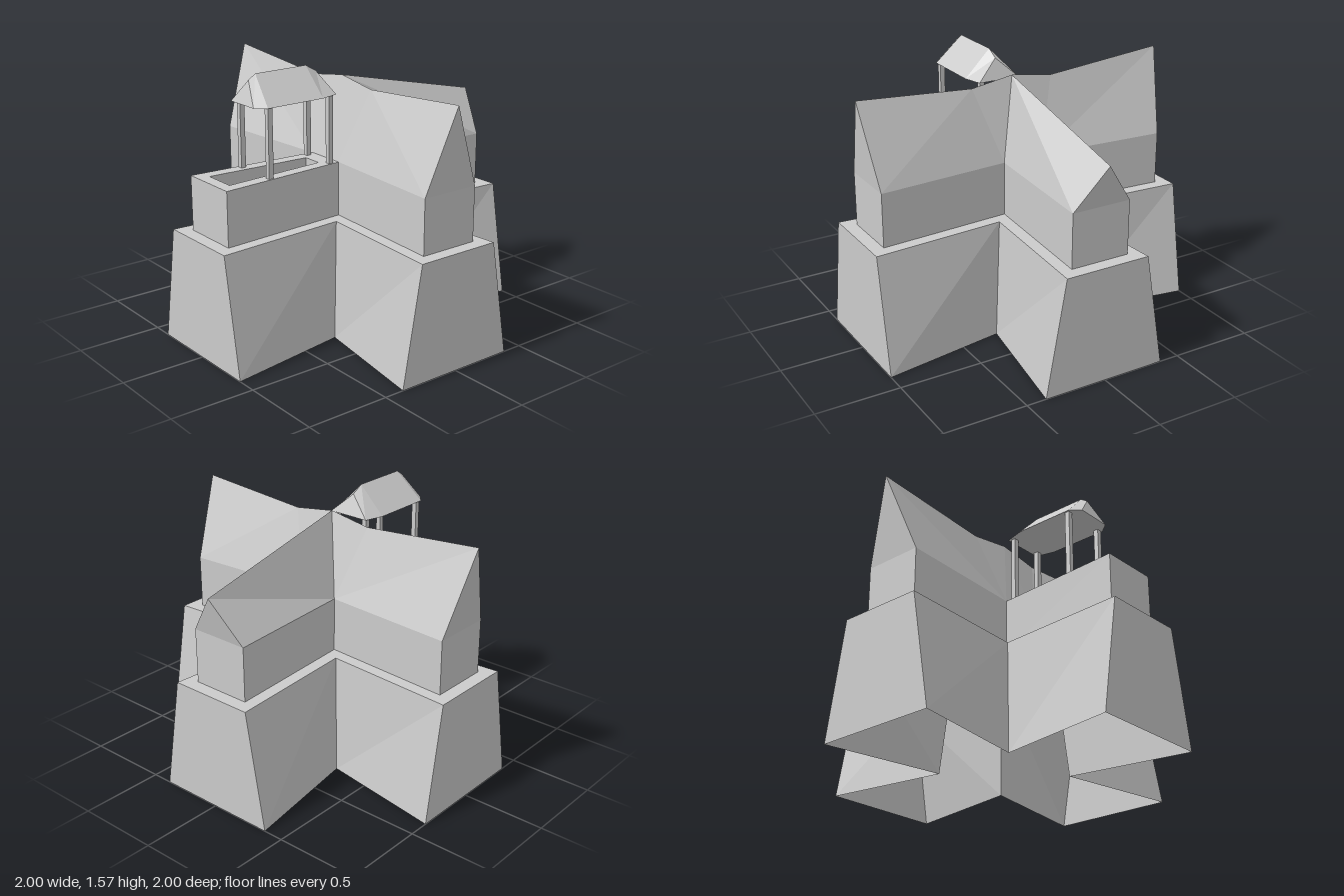
import * as THREE from 'three';

const material = new THREE.MeshStandardMaterial({ color: 0xcccccc, flatShading: true, side: THREE.DoubleSide });

// Flat-shaded mesh from convex polygons (corners counter-clockwise from outside)
function polyMesh(name, faces) {
  const pos = [];
  for (const f of faces)
    for (let i = 1; i < f.length - 1; i++) pos.push(...f[0], ...f[i], ...f[i + 1]);
  const geo = new THREE.BufferGeometry();
  geo.setAttribute('position', new THREE.Float32BufferAttribute(pos, 3));
  geo.computeVertexNormals();
  const mesh = new THREE.Mesh(geo, material);
  mesh.name = name;
  return mesh;
}

// Cross-shaped outline with arms that flare towards their ends
function cross(y, end, half, inner) {
  const pts = [];
  let arm = [[-half, end], [half, end], [inner, inner]];
  for (let k = 0; k < 4; k++) {
    pts.push(...arm.map(([x, z]) => [x, y, z]));
    arm = arm.map(([x, z]) => [z, -x]);
  }
  return pts;
}

// Band of quads between two matching closed outlines
function band(lower, upper) {
  return lower.map((p, i) => {
    const j = (i + 1) % lower.length;
    return [p, lower[j], upper[j], upper[i]];
  });
}

// Mirror a face in z and restore its winding
const mirrorZ = (face) => face.map(([x, y, z]) => [x, y, -z]).reverse();

export function createModel() {
  const model = new THREE.Group();
  const deck = 0.69, eave = 1.01;

  // Battered plinth, open underneath, with its flat top
  const foot = cross(0, 1, 0.38, 0.26);
  const rim = cross(deck, 1, 0.26, 0.205);
  model.add(polyMesh('plinth', band(foot, rim)));
  model.add(polyMesh('plinthTop', rim.map((p, i) => [[0, deck, 0], p, rim[(i + 1) % rim.length]])));

  // Walls of the four wings
  model.add(polyMesh('walls', band(cross(deck, 0.92, 0.18, 0.125), cross(eave, 0.92, 0.18, 0.125))));

  // Gabled roofs of the front and back wings, sagging near the crossing
  const crown = [0, 1.48, 0];
  const saddle = [0, 1.44, 0.26];
  const wing = (name, peakY, peakZ, flip) => {
    const peak = [0, peakY, peakZ];
    const eL = [0.18, eave, 0.92], eR = [-0.18, eave, 0.92];
    const vL = [0.125, eave, 0.125], vR = [-0.125, eave, 0.125];
    const faces = [
      [eR, eL, peak],
      [saddle, peak, eL, vL],
      [saddle, vR, eR, peak],
      [crown, saddle, vL],
      [crown, vR, saddle],
    ];
    model.add(polyMesh(name, flip ? faces.map(mirrorZ) : faces));
  };
  wing('frontRoof', 1.49, 0.965, false);
  wing('backRoof', 1.505, 1, true);
  model.add(polyMesh('crossingRoof', [[crown, [-0.125, eave, -0.125], [-0.125, eave, 0.125]]]));

  // Sloping roof of the left wing
  const tip = [0.985, 1.26, 0], corner = [0.92, eave, 0.18];
  const slope = [crown, [0.125, eave, 0.125], corner, tip];
  model.add(polyMesh('leftRoof', [slope, mirrorZ(slope), [corner, [0.92, eave, -0.18], tip]]));

  // Terrace on the right wing with a sunken basin
  const trapezoid = (y, x0, h0, x1, h1) => [[x0, y, h0], [x1, y, h1], [x1, y, -h1], [x0, y, -h0]];
  const edge = trapezoid(eave, -0.92, 0.18, -0.125, 0.125);
  const lip = trapezoid(eave, -0.85, 0.1, -0.22, 0.06);
  const floor = trapezoid(eave - 0.2, -0.85, 0.1, -0.22, 0.06);
  model.add(polyMesh('terrace', band(edge, lip)));
  model.add(polyMesh('basin', [...band(lip, floor), floor]));

  // Canopy posts
  for (const [x, z] of [[-0.61, 0.135], [-0.175, 0.105]])
    for (const s of [1, -1]) {
      const post = new THREE.Mesh(new THREE.BoxGeometry(0.03, 0.4, 0.03), material);
      post.position.set(x, eave + 0.2, s * z);
      post.name = 'canopyPost';
      model.add(post);
    }

  // Canopy roof from sections: eave x, half width, ridge x, ridge height
  const sections = [
    [-0.69, 0.11, -0.645, 1.54],
    [-0.63, 0.16, -0.6, 1.57],
    [-0.26, 0.16, -0.26, 1.57],
    [-0.145, 0.13, -0.19, 1.53],
  ].map(([ex, h, rx, ry]) => [[ex, 1.41, h], [rx, ry, 0], [ex, 1.41, -h]]);
  const canopy = [];
  for (let i = 0; i < 3; i++) {
    const a = sections[i], b = sections[i + 1];
    const side = [a[0], b[0], b[1], a[1]];
    canopy.push(side, mirrorZ(side), [a[0], a[2], b[2], b[0]]);
  }
  canopy.push(sections[0].slice().reverse(), [sections[3][0], sections[3][2], sections[3][1]]);
  model.add(polyMesh('canopyRoof', canopy));

  return model;
}
